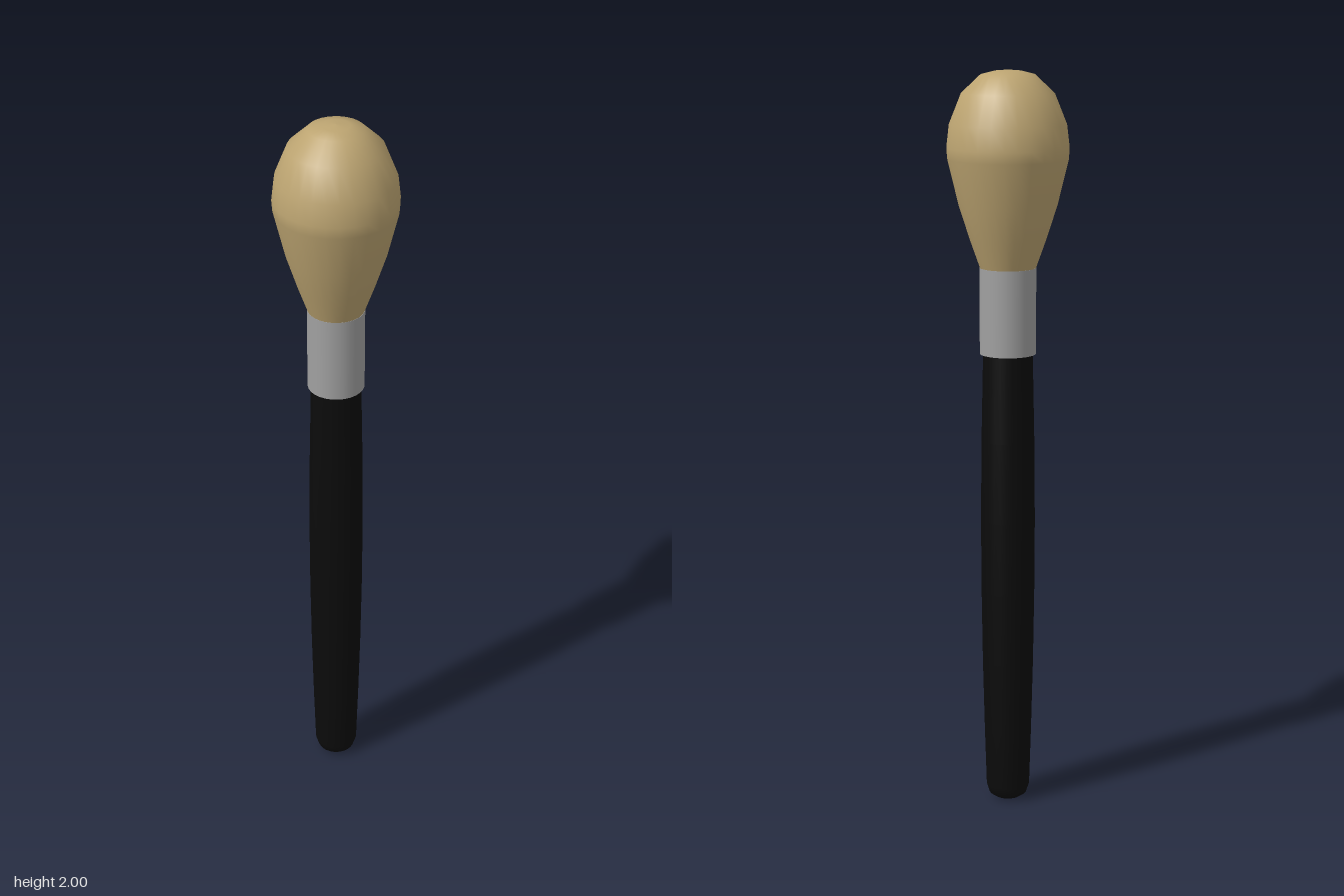
import * as THREE from 'three';

const SIDES = 28;

function material(name, color) {
  const m = new THREE.MeshStandardMaterial({ color });
  m.name = name;
  return m;
}

// Revolves a bottom-to-top list of [radius, height] points
function turned(name, profile, mat) {
  const points = profile.map(([r, y]) => new THREE.Vector2(r, y));
  const mesh = new THREE.Mesh(new THREE.LatheGeometry(points, SIDES), mat);
  mesh.name = name;
  return mesh;
}

export function createModel() {
  const black = material('black handle', 0x0b0b0b);
  const metal = material('grey metal', 0xa0a0a0);
  const tan = material('tan bristle', 0xbca471);

  const brush = new THREE.Group();
  brush.name = 'brush';

  // Slender handle, thickest in the middle, with a rounded butt
  brush.add(turned('handle', [
    [0, 0], [0.035, 0.004], [0.051, 0.015], [0.059, 0.04], [0.064, 0.2],
    [0.069, 0.4], [0.072, 0.6], [0.073, 0.8], [0.071, 1.02], [0.066, 1.27],
  ], black));

  // Metal collar, closed at both ends
  const ferrule = new THREE.Mesh(new THREE.CylinderGeometry(0.075, 0.075, 0.23, SIDES), metal);
  ferrule.name = 'ferrule';
  ferrule.position.y = 1.37;
  brush.add(ferrule);

  // Full teardrop of bristles
  brush.add(turned('bristles', [
    [0.074, 1.484], [0.101, 1.56], [0.13, 1.65], [0.159, 1.77], [0.161, 1.8],
    [0.154, 1.86], [0.122, 1.94], [0.071, 1.988], [0.035, 1.997], [0, 2],
  ], tan));

  return brush;
}
